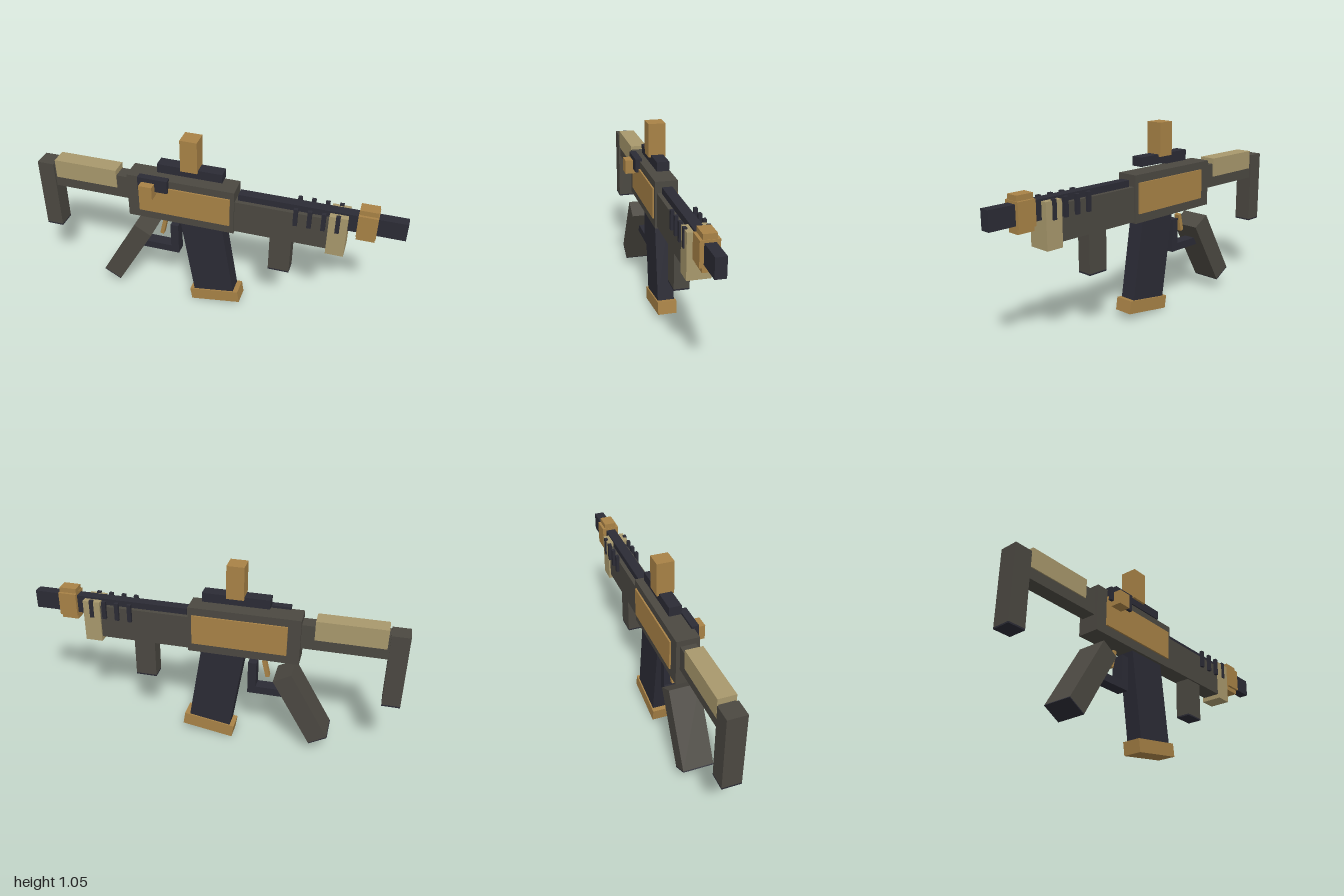
import * as THREE from 'three';

const mat = (name, color) => {
  const m = new THREE.MeshStandardMaterial({ color });
  m.name = name;
  return m;
};

export function createModel() {
  const model = new THREE.Group();
  model.name = 'blasterModel';
  const brass = mat('brass', 0xa88246);
  const gunmetal = mat('gunmetal', 0x4b4841);
  const navy = mat('darkNavy', 0x2b2b35);
  const khaki = mat('khaki', 0xa8986c);
  const ZC = -0.022; // centre plane of the body

  // Box from its x, y and z limits
  const block = (name, m, x0, x1, y0, y1, z0, z1) => {
    const mesh = new THREE.Mesh(new THREE.BoxGeometry(x1 - x0, y1 - y0, z1 - z0), m);
    mesh.position.set((x0 + x1) / 2, (y0 + y1) / 2, (z0 + z1) / 2);
    mesh.name = name;
    model.add(mesh);
    return mesh;
  };
  // Box symmetric about the centre plane, with half depth h
  const body = (name, m, x0, x1, y0, y1, h) => block(name, m, x0, x1, y0, y1, ZC - h, ZC + h);
  // Body box tilted about z, given centre, size and angle in degrees
  const tilted = (name, m, x, y, w, len, h, deg) => {
    const mesh = body(name, m, x - w / 2, x + w / 2, y - len / 2, y + len / 2, h);
    mesh.rotation.z = THREE.MathUtils.degToRad(deg);
    return mesh;
  };

  // Stock
  body('buttPlate', gunmetal, -1, -0.905, 0.363, 0.77, 0.05);
  body('buttCap', navy, -1, -0.905, 0.355, 0.363, 0.05);
  body('stockTube', gunmetal, -0.905, -0.465, 0.63, 0.765, 0.04);
  body('cheekRest', khaki, -0.895, -0.535, 0.69, 0.797, 0.046);

  // Receiver with side panels
  body('receiver', gunmetal, -0.466, 0.127, 0.54, 0.797, 0.06);
  for (const s of [-1, 1]) {
    const z = ZC + s * 0.064;
    block('sidePanel', brass, -0.4, 0.105, 0.59, 0.755, z - 0.0045, z + 0.0045);
  }
  block('chargingBolt', navy, -0.395, -0.23, 0.735, 0.81, 0.025, 0.063);
  block('boltKnob', brass, -0.373, -0.3, 0.708, 0.785, 0.045, 0.105);

  // Rail and sight
  body('topRail', navy, -0.3, 0.055, 0.827, 0.877, 0.033);
  body('sight', brass, -0.167, -0.075, 0.865, 1.046, 0.046);

  // Handguard, front band and foregrip
  body('handguard', gunmetal, 0.127, 0.617, 0.55, 0.735, 0.05);
  body('frontBand', khaki, 0.617, 0.711, 0.525, 0.76, 0.06);
  body('foregrip', gunmetal, 0.32, 0.435, 0.338, 0.55, 0.041);
  body('foregripCap', navy, 0.32, 0.435, 0.33, 0.338, 0.041);

  // Barrel, muzzle collar and cooling slats
  body('barrel', navy, 0.14, 1, 0.67, 0.77, 0.027);
  body('collarTall', brass, 0.759, 0.853, 0.63, 0.81, 0.033);
  body('collarWide', brass, 0.757, 0.856, 0.655, 0.783, 0.047);
  for (let i = 0; i < 4; i++) {
    const x = 0.449 + i * 0.0713;
    for (const s of [-1, 1]) {
      const z = ZC + s * 0.057;
      block('coolingSlat', navy, x - 0.011, x + 0.011, 0.668, 0.768, z - 0.009, z + 0.009);
    }
  }

  // Magazine
  tilted('magazine', navy, -0.03, 0.365, 0.232, 0.55, 0.045, 9);
  tilted('magazineBase', brass, 0.02, 0.058, 0.285, 0.071, 0.052, 9);

  // Pistol grip, trigger and guard
  const grip = tilted('pistolGrip', gunmetal, -0.492, 0.275, 0.11, 0.42, 0.082, -30);
  const cap = new THREE.Mesh(new THREE.BoxGeometry(0.11, 0.006, 0.164), navy);
  cap.name = 'gripCap';
  cap.position.y = -0.212;
  grip.add(cap);
  tilted('trigger', brass, -0.288, 0.459, 0.021, 0.1, 0.016, -13);
  body('guardFront', navy, -0.24, -0.195, 0.307, 0.495, 0.033);
  body('guardBottom', navy, -0.42, -0.24, 0.307, 0.35, 0.033);

  return model;
}
